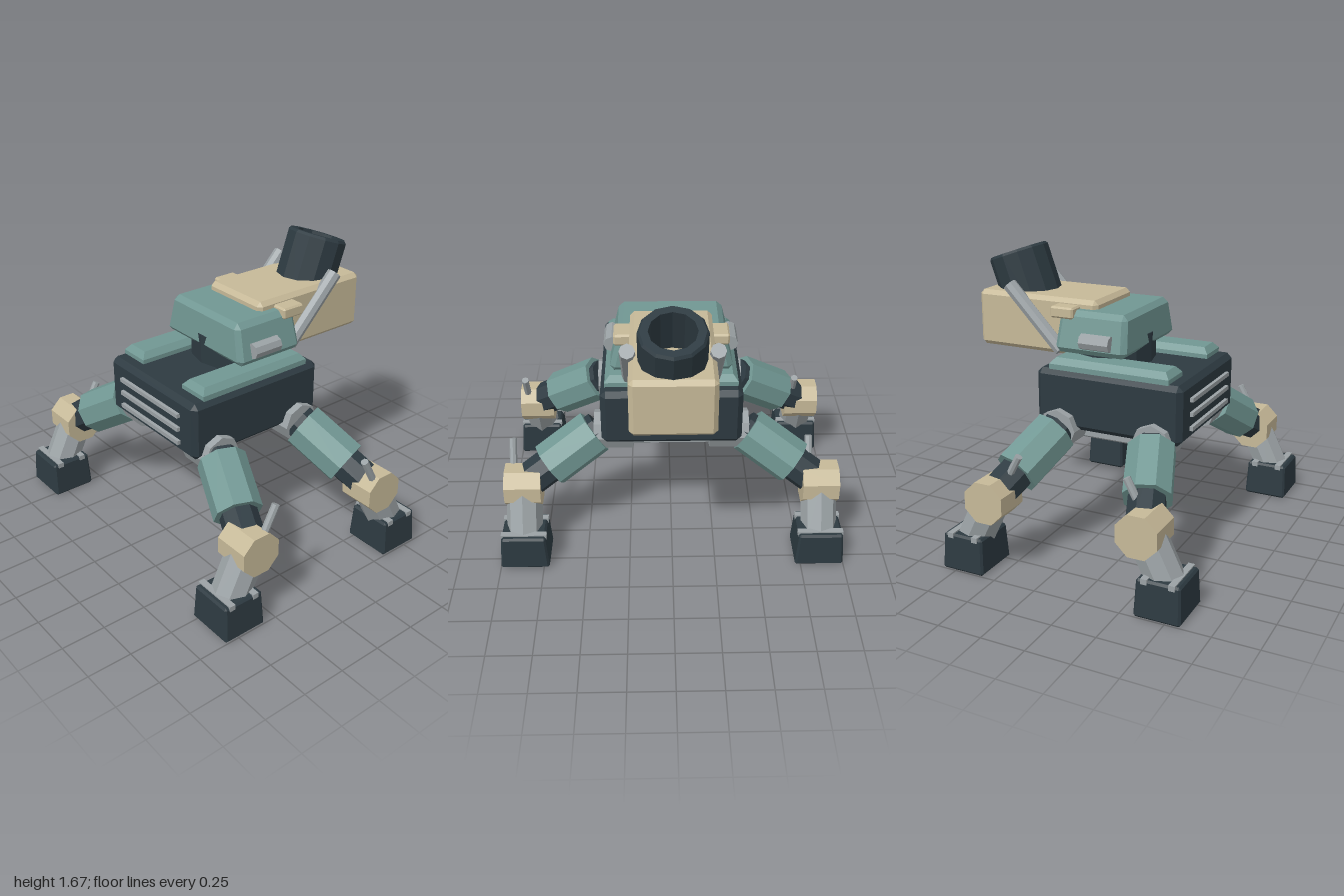
import * as THREE from 'three';
import { ConvexGeometry } from 'three/addons/geometries/ConvexGeometry.js';

const paint = (name, color) => Object.assign(new THREE.MeshStandardMaterial({ color }), { name });
const dark = paint('dark steel', 0x2d3a41);
const teal = paint('teal armour', 0x719793);
const beige = paint('beige armour', 0xc6b998);
const grey = paint('bare metal', 0x9ba2a5);

const V = (x, y, z) => new THREE.Vector3(x, y, z);

// Faceted normals stored in the geometry
function faceted(geometry) {
  const g = geometry.index ? geometry.toNonIndexed() : geometry;
  g.computeVertexNormals();
  return g;
}

function add(parent, name, geometry, material) {
  const mesh = new THREE.Mesh(faceted(geometry), material);
  mesh.name = name;
  parent.add(mesh);
  return mesh;
}

// Box with chamfered edges between two corners; the top may be narrower
function chamferBox(min, max, b, taperX = 1, taperZ = 1) {
  const [hx, hy, hz] = min.map((m, i) => (max[i] - m) / 2);
  const [cx, cy, cz] = min.map((m, i) => (max[i] + m) / 2);
  const points = [];
  for (const sx of [-1, 1]) for (const sy of [-1, 1]) for (const sz of [-1, 1]) {
    for (const [x, y, z] of [[hx, hy - b, hz - b], [hx - b, hy, hz - b], [hx - b, hy - b, hz]]) {
      const t = (sy * y / hy + 1) / 2;
      points.push(V(
        cx + sx * x * (1 + (taperX - 1) * t),
        cy + sy * y,
        cz + sz * z * (1 + (taperZ - 1) * t)));
    }
  }
  return new ConvexGeometry(points);
}

// Faceted cylinder between two points
function bar(from, to, radius, sides = 8, turn = 0) {
  const dir = to.clone().sub(from);
  const g = new THREE.CylinderGeometry(radius, radius, dir.length(), sides, 1, false, turn);
  g.applyQuaternion(new THREE.Quaternion().setFromUnitVectors(V(0, 1, 0), dir.normalize()));
  const mid = from.clone().add(to).multiplyScalar(0.5);
  return g.translate(mid.x, mid.y, mid.z);
}

// One leg; side is +1 for left, end is +1 for front
function makeLeg(side, end) {
  const leg = new THREE.Group();
  leg.name = (end > 0 ? 'front' : 'rear') + (side > 0 ? 'LeftLeg' : 'RightLeg');
  const at = (x, y, z) => V(side * x, y, 0.125 + end * z);
  const hip = at(0.42, 0.7, 0.29);
  const knee = at(0.86, 0.42, 0.45);
  const along = (t) => hip.clone().lerp(knee, t);

  add(leg, 'hipJoint', bar(at(0.22, 0.697, 0.29), at(0.445, 0.697, 0.29), 0.115), grey);
  add(leg, 'thighCore', bar(hip, along(0.96), 0.105), dark);
  add(leg, 'thighArmour', bar(along(0.06), along(0.66), 0.137), teal);
  add(leg, 'kneeJoint', bar(at(0.755, 0.42, 0.45), at(0.965, 0.42, 0.45), 0.125, 8, Math.PI / 8), beige);
  add(leg, 'shin', bar(knee, at(0.86, 0.14, 0.588), 0.105), grey);

  // Knee rod sits on the same world side of every knee
  const rodX = knee.x + 0.06;
  const z = (o) => 0.125 + end * o;
  add(leg, 'kneeRod', bar(V(rodX, 0.45, z(0.43)), V(rodX, 0.655, z(0.32)), 0.022), grey);

  // Foot block with two clamps across its top
  const fx = side * 0.858, fz = z(0.58);
  add(leg, 'foot', chamferBox([fx - 0.142, 0, fz - 0.13], [fx + 0.142, 0.21, fz + 0.13], 0.012, 0.89, 0.93), dark);
  for (const d of [-0.076, 0.076]) {
    const clamp = new THREE.BoxGeometry(0.262, 0.03, 0.036).translate(fx, 0.202, fz + d);
    add(leg, 'footClamp', clamp, grey);
  }
  return leg;
}

export function createModel() {
  const model = new THREE.Group();
  model.name = 'fourLeggedWalker';

  // Hull, belly plate and front grille
  add(model, 'hull', chamferBox([-0.4, 0.69, -0.32], [0.4, 1.03, 0.57], 0.03), dark);
  add(model, 'bellyPlate', chamferBox([-0.27, 0.608, -0.2], [0.27, 0.72, 0.45], 0.01), grey);
  for (const y of [0.765, 0.847, 0.93]) {
    add(model, 'grilleBar', new THREE.BoxGeometry(0.55, 0.024, 0.03).translate(0, y, 0.575), grey);
  }

  // U-shaped deck armour, open to the front
  const deck = new THREE.Shape([
    [-0.375, -0.245], [0.375, -0.245], [0.375, 0.485], [0.185, 0.485],
    [0.185, 0.1], [-0.185, 0.1], [-0.185, 0.485], [-0.375, 0.485],
  ].map(([x, y]) => new THREE.Vector2(x, y)));
  const deckGeometry = new THREE.ExtrudeGeometry(deck, {
    depth: 0.04, bevelEnabled: true, bevelSegments: 1, bevelThickness: 0.035, bevelSize: 0.03, bevelOffset: -0.03,
  });
  add(model, 'deckArmour', deckGeometry.rotateX(Math.PI / 2).translate(0, 1.055, 0), teal);

  // Turret on its ring
  const ring = new THREE.CylinderGeometry(0.235, 0.235, 0.19, 12).scale(1.13, 1, 1);
  add(model, 'turretRing', ring.translate(0, 1.105, -0.02), dark);
  add(model, 'turret', chamferBox([-0.348, 1.118, -0.235], [0.348, 1.352, 0.212], 0.03, 0.83, 0.92), teal);

  // Rear housing with its lugs, side canisters and struts
  add(model, 'rearHousing', chamferBox([-0.227, 1.07, -0.8], [0.227, 1.4, -0.02], 0.025), beige);
  for (const s of [-1, 1]) {
    const lugX = [s * 0.2, s * 0.315].sort((a, b) => a - b);
    add(model, 'housingLug', chamferBox([lugX[0], 1.305, -0.27], [lugX[1], 1.37, -0.125], 0.01), beige);
    add(model, 'sideCanister', bar(V(s * 0.335, 1.197, -0.058), V(s * 0.335, 1.197, 0.123), 0.046), grey);
    add(model, 'strut', bar(V(s * 0.233, 1.1, -0.245), V(s * 0.233, 1.45, -0.58), 0.042), grey);
  }

  // Hollow mortar barrel leaning backwards
  const h = 0.34;
  const profile = [[0.18, 0], [0.18, h - 0.015], [0.168, h], [0.125, h], [0.122, 0]]
    .map(([x, y]) => new THREE.Vector2(x, y));
  const barrel = add(model, 'mortarBarrel', new THREE.LatheGeometry(profile, 12), dark);
  barrel.rotation.x = -0.345;
  barrel.position.set(0, 1.29, -0.547);

  // Legs
  for (const side of [-1, 1]) for (const end of [-1, 1]) model.add(makeLeg(side, end));

  return model;
}
